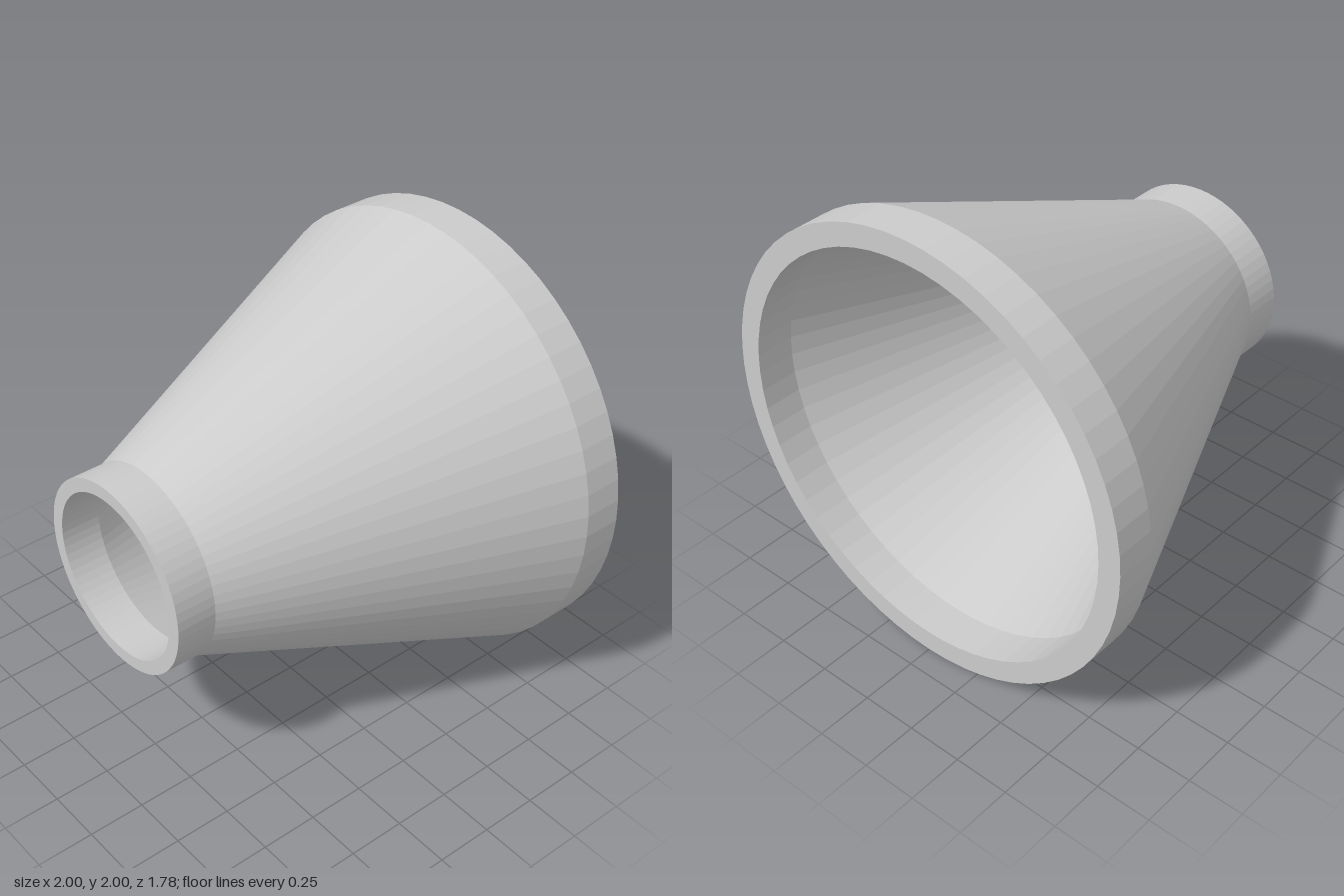
import * as THREE from 'three';

const SEGMENTS = 64;

// Hollow conical pipe reducer: wide collar at the back, narrow collar at the front
export function createModel() {
  const group = new THREE.Group();
  group.name = 'pipeReducer';
  const material = new THREE.MeshStandardMaterial({ color: 0xcccccc, flatShading: true });

  // Stations along the axis: [position, outer radius, inner radius]
  const stations = [
    [-0.89, 1.0, 0.9],
    [-0.715, 1.0, 0.9],
    [0.715, 0.42, 0.36],
    [0.89, 0.42, 0.36],
  ];

  // Closed wall section: up the outside, back down the bore
  const outside = stations.map(([z, outer]) => new THREE.Vector2(outer, z));
  const bore = stations.map(([z, , inner]) => new THREE.Vector2(inner, z)).reverse();
  const section = [...outside, ...bore, outside[0].clone()];

  // Turn the lathe axis to z and rest the wide collar on the ground
  const geometry = new THREE.LatheGeometry(section, SEGMENTS);
  geometry.rotateX(Math.PI / 2);
  geometry.translate(0, 1, 0);

  const body = new THREE.Mesh(geometry, material);
  body.name = 'reducerBody';
  group.add(body);
  return group;
}
